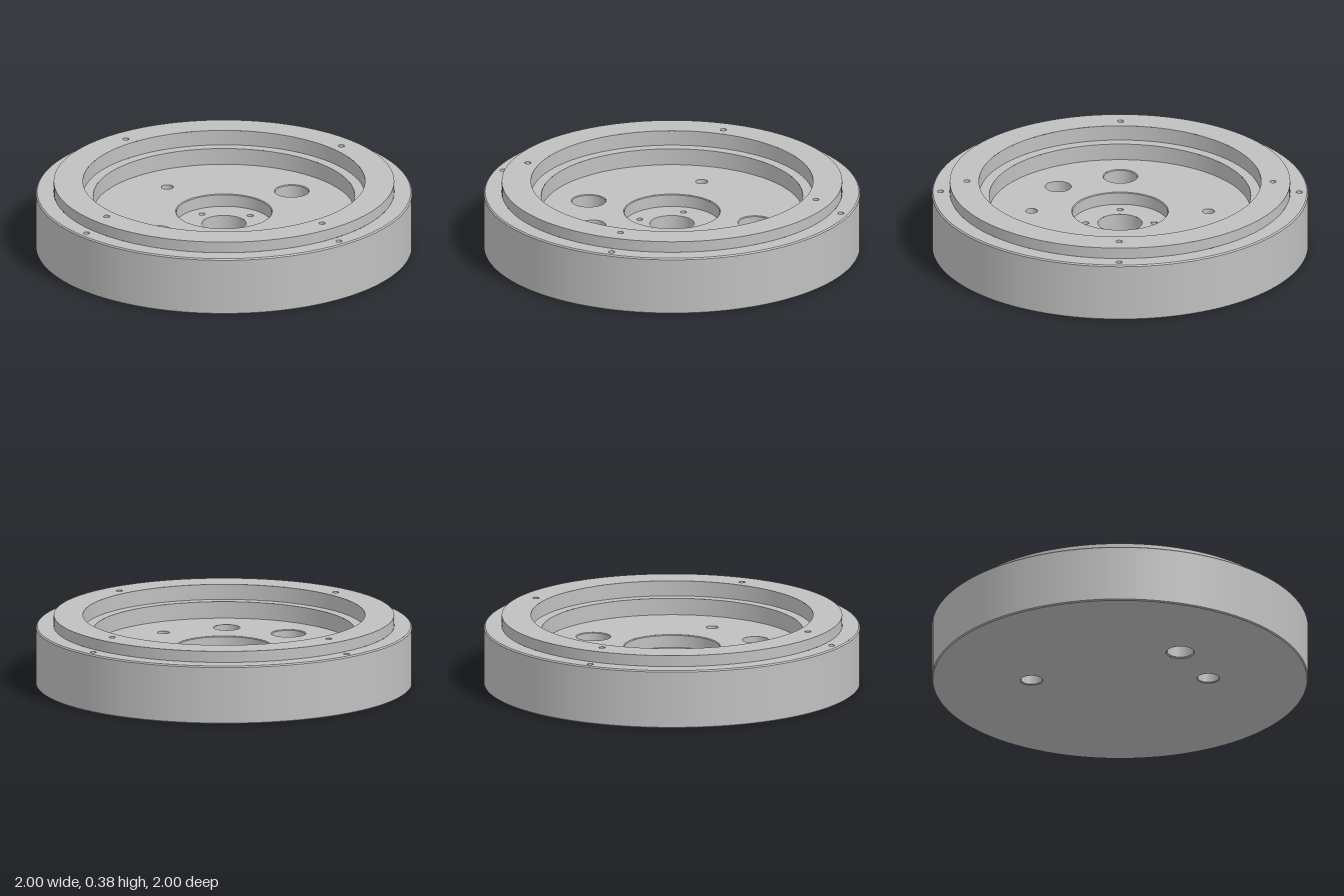
import * as THREE from 'three';
import { mergeGeometries } from 'three/addons/utils/BufferGeometryUtils.js';

const steel = new THREE.MeshStandardMaterial({ color: 0xc0c0c0 });
steel.name = 'steel';

// Levels, from the underside up
const Y = { bottom: 0, hub: 0.134, floor: 0.203, ledge: 0.293, rim: 0.315, top: 0.375 };

// Revolves each profile segment separately, so that edges stay sharp.
// Going up faces outward, going down faces inward.
function revolve(profile, segments) {
  const parts = [];
  for (let i = 0; i + 1 < profile.length; i++) {
    const pair = [profile[i], profile[i + 1]].map(([r, y]) => new THREE.Vector2(r, y));
    parts.push(new THREE.LatheGeometry(pair, segments));
  }
  return mergeGeometries(parts);
}

// Flat ring at height y, pierced by round holes [x, z, radius]
function plate(outer, inner, y, holes, down = false) {
  const shape = new THREE.Shape().absarc(0, 0, outer, 0, Math.PI * 2);
  const cut = (x, z, r) => shape.holes.push(new THREE.Path().absarc(x, down ? z : -z, r, 0, Math.PI * 2, true));
  if (inner > 0) cut(0, 0, inner);
  holes.forEach(([x, z, r]) => cut(x, z, r));
  const geometry = new THREE.ShapeGeometry(shape, 96);
  geometry.rotateX(down ? Math.PI / 2 : -Math.PI / 2);
  return geometry.translate(0, y, 0);
}

// Four positions on the axes at a given radius
const cross = (d) => [[d, 0], [-d, 0], [0, d], [0, -d]];

export function createModel() {
  const group = new THREE.Group();
  group.name = 'flangePlate';
  const add = (name, geometry, x = 0, z = 0) => {
    const mesh = new THREE.Mesh(geometry, steel);
    mesh.name = name;
    mesh.position.set(x, 0, z);
    group.add(mesh);
  };

  const pinR = 0.017;
  const pins = (d) => cross(d).map(([x, z]) => [x, z, pinR]);
  const bolts = [[0, 0.47], [0, -0.47]];
  const pockets = [[0.47, 0], [-0.47, 0]];
  const port = [-0.33, 0.33];

  // Horizontal faces
  add('underside', plate(0.994, 0, Y.bottom, [...bolts.map((p) => [...p, 0.06]), [...port, 0.076]], true));
  add('outerRimFace', plate(0.993, 0.905, Y.rim, pins(0.953)));
  add('raisedRingFace', plate(0.905, 0.75, Y.top, pins(0.813)));
  add('ledgeFace', plate(0.75, 0.695, Y.ledge, []));
  add('floorFace', plate(0.695, 0.257, Y.floor,
    [...bolts.map((p) => [...p, 0.032]), ...pockets.map((p) => [...p, 0.093]), [...port, 0.07]]));
  add('hubFace', plate(0.257, 0.118, Y.hub, pins(0.182)));

  // Round walls
  add('outerWall', revolve([[0.994, 0], [1, 0.006], [1, Y.rim - 0.007], [0.993, Y.rim]], 128));
  add('raisedRingOuterWall', revolve([[0.905, Y.rim], [0.905, Y.top]], 128));
  add('raisedRingInnerWall', revolve([[0.75, Y.top], [0.75, Y.ledge]], 128));
  add('recessWall', revolve([[0.695, Y.ledge], [0.695, Y.floor]], 128));
  add('hubWall', revolve([[0.257, Y.floor], [0.253, Y.floor - 0.004], [0.253, Y.hub], [0.257, Y.hub]], 96));
  add('centreBore', revolve([[0.118, Y.hub], [0.118, 0.015], [0, 0.015]], 64));

  // Through holes, with a wider counterbore below for the bolts
  for (const [x, z] of bolts) {
    add('boltHole', revolve([[0.032, Y.floor], [0.032, 0.1], [0.056, 0.1], [0.056, 0.004], [0.06, 0]], 48), x, z);
  }
  add('portHole', revolve([[0.07, Y.floor], [0.07, 0.006], [0.076, 0]], 48), ...port);

  // Blind pockets in the floor
  for (const [x, z] of pockets) {
    add('pocket', revolve([[0.093, Y.floor], [0.089, Y.floor - 0.004], [0.089, 0.11], [0, 0.11]], 64), x, z);
  }

  // Small drilled holes with conical ends
  for (const [d, y] of [[0.953, Y.rim], [0.813, Y.top], [0.182, Y.hub]]) {
    for (const [x, z] of cross(d)) {
      add('drilledHole', revolve([[pinR, y], [pinR, y - 0.06], [0, y - 0.07]], 24), x, z);
    }
  }
  return group;
}
